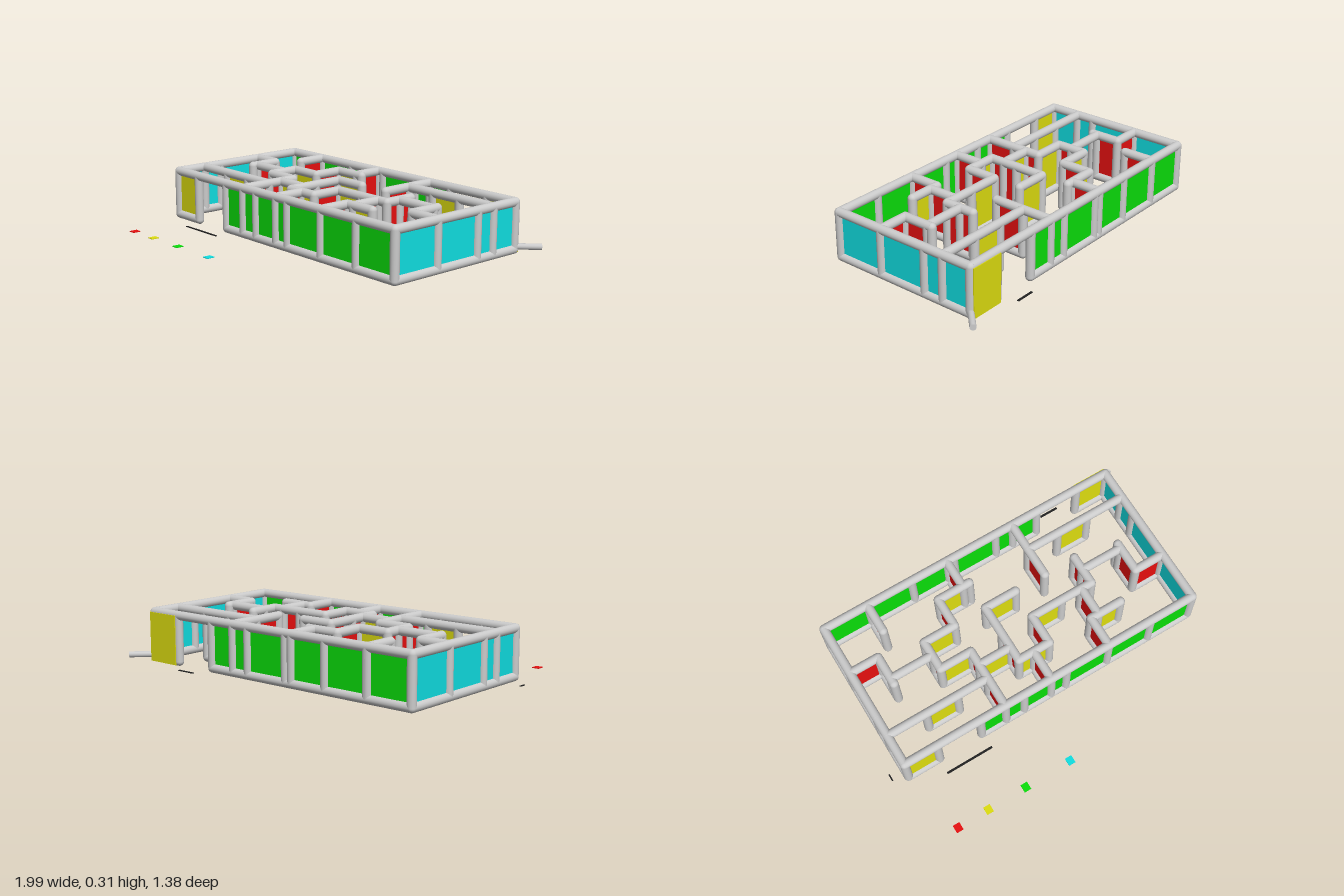
import * as THREE from 'three';

const R = 0.025, LOW = 0.029, HIGH = 0.284;
const BACK = -0.577, FRONT = 0.295, LEFT = -0.912, RIGHT = 0.877;

const mat = (color) => new THREE.MeshStandardMaterial({ color });
const grey = mat(0xcccccc);
const red = mat(0xe81010), yellow = mat(0xdede10), green = mat(0x0ae00a), cyan = mat(0x10dfe2);
const black = mat(0x222222);

export function createModel() {
  const root = new THREE.Group();
  root.name = 'maze';
  const ball = new THREE.SphereGeometry(R, 16, 10);
  const seen = new Set();

  function add(name, geometry, material, x, y, z, parent = root) {
    const m = new THREE.Mesh(geometry, material);
    m.name = name;
    m.position.set(x, y, z);
    parent.add(m);
    return m;
  }

  // Round bar between two points
  function pipe(name, a, b, r = R) {
    const va = new THREE.Vector3(...a), vb = new THREE.Vector3(...b);
    const dir = vb.clone().sub(va);
    const mid = va.add(vb).multiplyScalar(0.5);
    const m = add(name, new THREE.CylinderGeometry(r, r, dir.length(), 16), grey, mid.x, mid.y, mid.z);
    m.quaternion.setFromUnitVectors(new THREE.Vector3(0, 1, 0), dir.normalize());
    return m;
  }

  // Upright with rounded ends, built once per position
  function post(x, z) {
    const key = x.toFixed(2) + ',' + z.toFixed(2);
    if (seen.has(key)) return;
    seen.add(key);
    pipe('post', [x, LOW, z], [x, HIGH, z]);
    for (const y of [LOW, HIGH]) add('postCap', ball, grey, x, y, z);
  }

  // Framed wall bay; without a colour it is a doorway under a top bar
  function bay(x1, z1, x2, z2, color) {
    post(x1, z1);
    post(x2, z2);
    pipe('topRail', [x1, HIGH, z1], [x2, HIGH, z2]);
    if (!color) return;
    pipe('bottomRail', [x1, LOW, z1], [x2, LOW, z2]);
    const alongX = Math.abs(x2 - x1) > Math.abs(z2 - z1);
    const len = Math.hypot(x2 - x1, z2 - z1);
    add('panel', new THREE.BoxGeometry(alongX ? len : 0.01, HIGH - LOW, alongX ? 0.01 : len),
      color, (x1 + x2) / 2, (LOW + HIGH) / 2, (z1 + z2) / 2);
  }
  // Runs of bays along x at depth z, or along z at position x
  const rowX = (z, xs, colors) => colors.forEach((c, i) => bay(xs[i], z, xs[i + 1], z, c));
  const rowZ = (x, zs, colors) => colors.forEach((c, i) => bay(x, zs[i], x, zs[i + 1], c));

  // Outer walls: front and back are half-turn copies of each other
  const five = [green, green, green, green, green];
  rowX(FRONT, [LEFT, -0.72, -0.457, -0.19, 0.075, 0.341, 0.608, RIGHT], [yellow, null, ...five]);
  rowX(BACK, [LEFT, -0.643, -0.376, -0.11, 0.155, 0.422, 0.685, RIGHT], [...five, null, yellow]);
  const step = (FRONT - BACK) / 3;
  const sides = [0, 1, 2, 3].map((i) => BACK + i * step);
  for (const x of [LEFT, RIGHT]) rowZ(x, sides, [cyan, cyan, cyan]);

  // Inner walls across the maze
  rowX(-0.404, [-0.305, -0.112], [yellow]);
  rowX(-0.404, [0.265, 0.455, 0.645, RIGHT], [null, yellow, null]);
  rowX(-0.286, [LEFT, -0.743], [red]);
  rowX(-0.231, [-0.492, -0.305], [yellow]);
  rowX(-0.231, [-0.112, 0.078], [yellow]);
  rowX(-0.147, [-0.743, -0.492], [null]);
  rowX(-0.147, [0.455, 0.702], [null]);
  rowX(-0.058, [-0.492, -0.305], [yellow]);
  rowX(-0.058, [0.078, 0.265, 0.455], [yellow, null]);
  rowX(0.004, [0.702, RIGHT], [red]);
  rowX(0.03, [-0.305, -0.112], [yellow]);
  rowX(0.116, [LEFT, -0.682, -0.492, -0.305], [null, yellow, null]);
  rowX(0.116, [-0.112, 0.078], [yellow]);
  rowX(0.116, [0.342, 0.53], [yellow]);

  // Inner walls along the depth
  rowZ(-0.743, [-0.286, -0.115], [red]);
  rowZ(-0.647, [BACK, -0.404], [red]);
  rowZ(-0.492, [-0.231, -0.058], [red]);
  rowZ(-0.305, [-0.404, -0.231], [red]);
  rowZ(-0.305, [-0.058, 0.116, FRONT], [red, red]);
  rowZ(-0.152, [BACK, -0.404], [red]);
  rowZ(-0.112, [-0.231, -0.058, 0.116], [null, red]);
  rowZ(-0.02, [0.116, FRONT], [red]);
  rowZ(0.078, [-0.058, 0.116], [red]);
  rowZ(0.265, [BACK, -0.404, -0.231], [null, red]);
  rowZ(0.342, [0.116, FRONT], [red]);
  rowZ(0.39, [-0.058, 0.116], [red]);
  rowZ(0.455, [-0.231, -0.058], [red]);
  rowZ(0.702, [-0.175, 0.004], [red]);

  // Cover board beside the exit and the loose bar at its corner
  add('exitBoard', new THREE.BoxGeometry(0.2, 0.275, 0.006), yellow, 0.785, 0.148, -0.603);
  pipe('cornerBar', [0.87, 0.044, -0.57], [0.982, 0.044, -0.681], 0.017);

  // Blank ground markers around the maze
  const marker = (name, w, d, color, x, z) =>
    add(name, new THREE.BoxGeometry(w, 0.004, d), color, x, 0.002, z);
  marker('entranceMarker', 0.28, 0.012, black, -0.585, 0.382);
  marker('exitMarker', 0.11, 0.012, black, 0.555, -0.65);
  marker('sideMarker', 0.008, 0.04, black, -0.996, 0.245);
  [[-0.825, red], [-0.638, yellow], [-0.405, green], [-0.125, cyan]].forEach(([x, c]) =>
    marker('colourKey', 0.04, 0.045, c, x, 0.667));

  return root;
}
